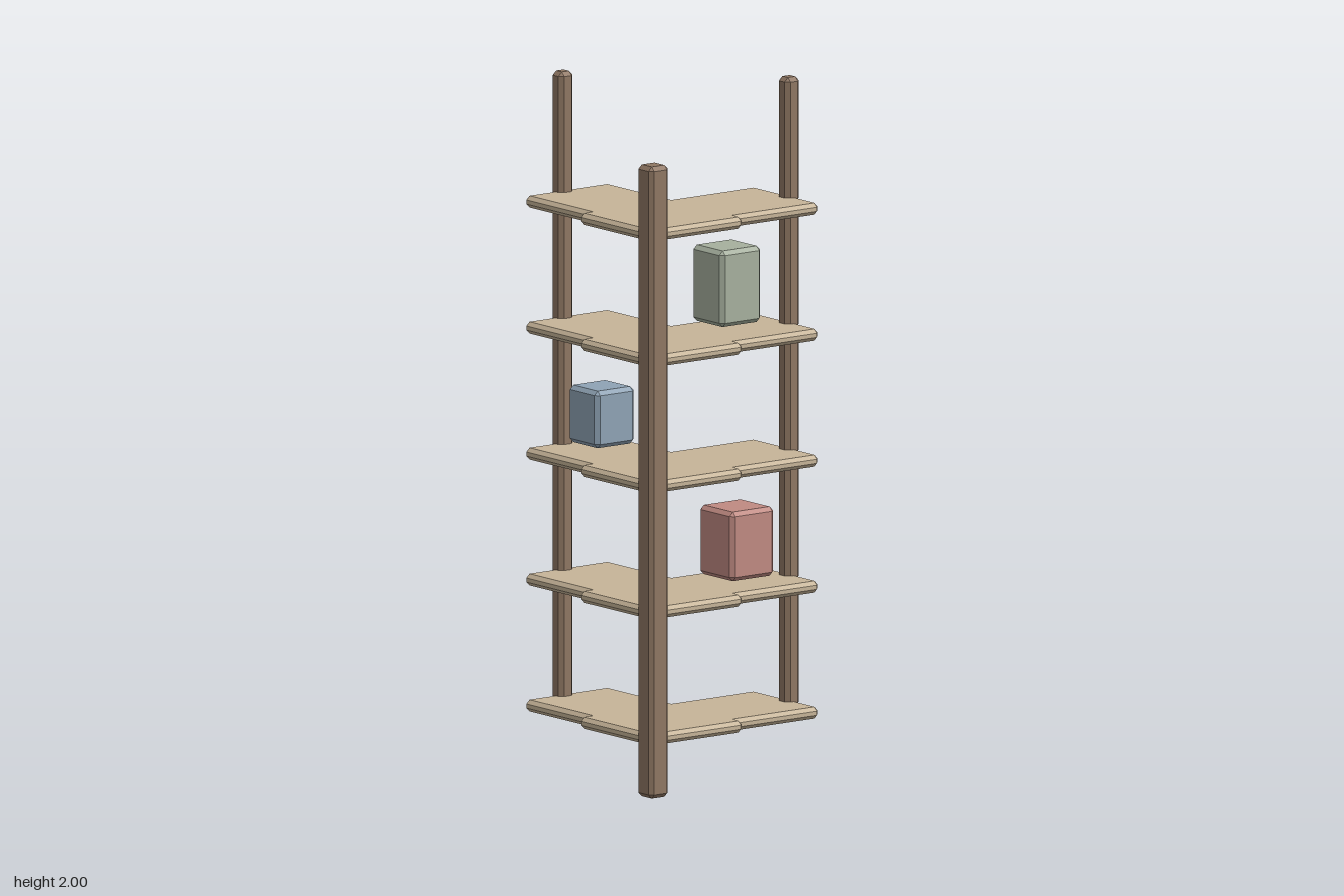
import * as THREE from 'three';

const paint = (color) => new THREE.MeshStandardMaterial({ color, flatShading: true });

// Chamfered slab from a right-angled outline of [x, z] corners, between two heights
function chamferedSlab(outline, y0, y1, b) {
  const corners = outline.map(([x, z]) => new THREE.Vector2(x, z));
  const n = corners.length;
  const caps = [], inner = [], outer = [];
  corners.forEach((p, i) => {
    const d1 = p.clone().sub(corners[(i + n - 1) % n]).normalize();
    const d2 = corners[(i + 1) % n].clone().sub(p).normalize();
    const turn = Math.sign(d1.cross(d2));
    const inset = p.clone().addScaledVector(d2, turn * b).addScaledVector(d1, -turn * b);
    caps.push(inset);
    inner.push(inset, inset);
    // outward corners are cut, inward corners stay sharp
    if (turn > 0) outer.push(p.clone().addScaledVector(d1, -b), p.clone().addScaledVector(d2, b));
    else outer.push(p, p);
  });

  const positions = [];
  const triangle = (...points) => {
    const [p, q, r] = points;
    if (q.clone().sub(p).cross(r.clone().sub(p)).length() < 1e-9) return;
    points.forEach((v) => positions.push(v.x, v.y, v.z));
  };
  const at = (p, y) => new THREE.Vector3(p.x, y, p.y);

  // sides: lower chamfer, wall, upper chamfer
  const rings = [[inner, y0], [outer, y0 + b], [outer, y1 - b], [inner, y1]];
  for (let k = 0; k < 3; k++) {
    const [lo, ya] = rings[k], [hi, yb] = rings[k + 1];
    for (let i = 0; i < lo.length; i++) {
      const j = (i + 1) % lo.length;
      triangle(at(lo[i], ya), at(hi[i], yb), at(lo[j], ya));
      triangle(at(hi[i], yb), at(hi[j], yb), at(lo[j], ya));
    }
  }
  // flat faces
  for (const [a, c, d] of THREE.ShapeUtils.triangulateShape(caps, [])) {
    triangle(at(caps[a], y0), at(caps[c], y0), at(caps[d], y0));
    triangle(at(caps[a], y1), at(caps[d], y1), at(caps[c], y1));
  }
  const geometry = new THREE.BufferGeometry();
  geometry.setAttribute('position', new THREE.Float32BufferAttribute(positions, 3));
  geometry.computeVertexNormals();
  return geometry;
}

const chamferedBox = (x0, x1, y0, y1, z0, z1, b) =>
  chamferedSlab([[x0, z0], [x1, z0], [x1, z1], [x0, z1]], y0, y1, b);

export function createModel() {
  const group = new THREE.Group();
  const postWood = paint(0x8f7763);
  const shelfWood = paint(0xc6b498);
  const add = (name, geometry, material) => {
    const mesh = new THREE.Mesh(geometry, material);
    mesh.name = name;
    group.add(mesh);
  };

  const firstShelf = 0.17, step = 0.366, levels = 5;

  // L-shaped shelves
  const shelfOutline = [
    [-0.29, -0.313], [0.013, -0.313], [0.013, -0.016], [0.31, -0.016], [0.31, 0.289],
    [0.013, 0.289], [0.013, 0.32], [-0.323, 0.32], [-0.323, -0.016], [-0.29, -0.016],
  ];
  const shelf = chamferedSlab(shelfOutline, -0.017, 0.017, 0.011);

  for (let i = 0; i < levels; i++) {
    const y = firstShelf + i * step;
    add(`shelf${i + 1}`, shelf.clone().translate(0, y, 0), shelfWood);
    // slim post sections, one per level
    for (const [name, x, z] of [['backPost', -0.16, -0.303], ['sidePost', 0.3, 0.157]]) {
      add(`${name}${i + 1}`,
        chamferedBox(x - 0.025, x + 0.025, y, y + step, z - 0.025, z + 0.025, 0.012), postWood);
    }
  }

  // thick corner post
  add('cornerPost', chamferedBox(-0.327, -0.257, 0, 1.835, 0.255, 0.325, 0.012), postWood);

  // storage boxes
  add('redBox', chamferedBox(0.055, 0.213, 0.567, 0.768, 0.05, 0.208, 0.012), paint(0xc08a82));
  add('blueBox', chamferedBox(-0.2, -0.06, 0.938, 1.104, -0.229, -0.089, 0.012), paint(0x8fa3b5));
  add('greenBox', chamferedBox(0.04, 0.188, 1.303, 1.524, 0.037, 0.18, 0.012), paint(0xa6b09e));

  return group;
}
